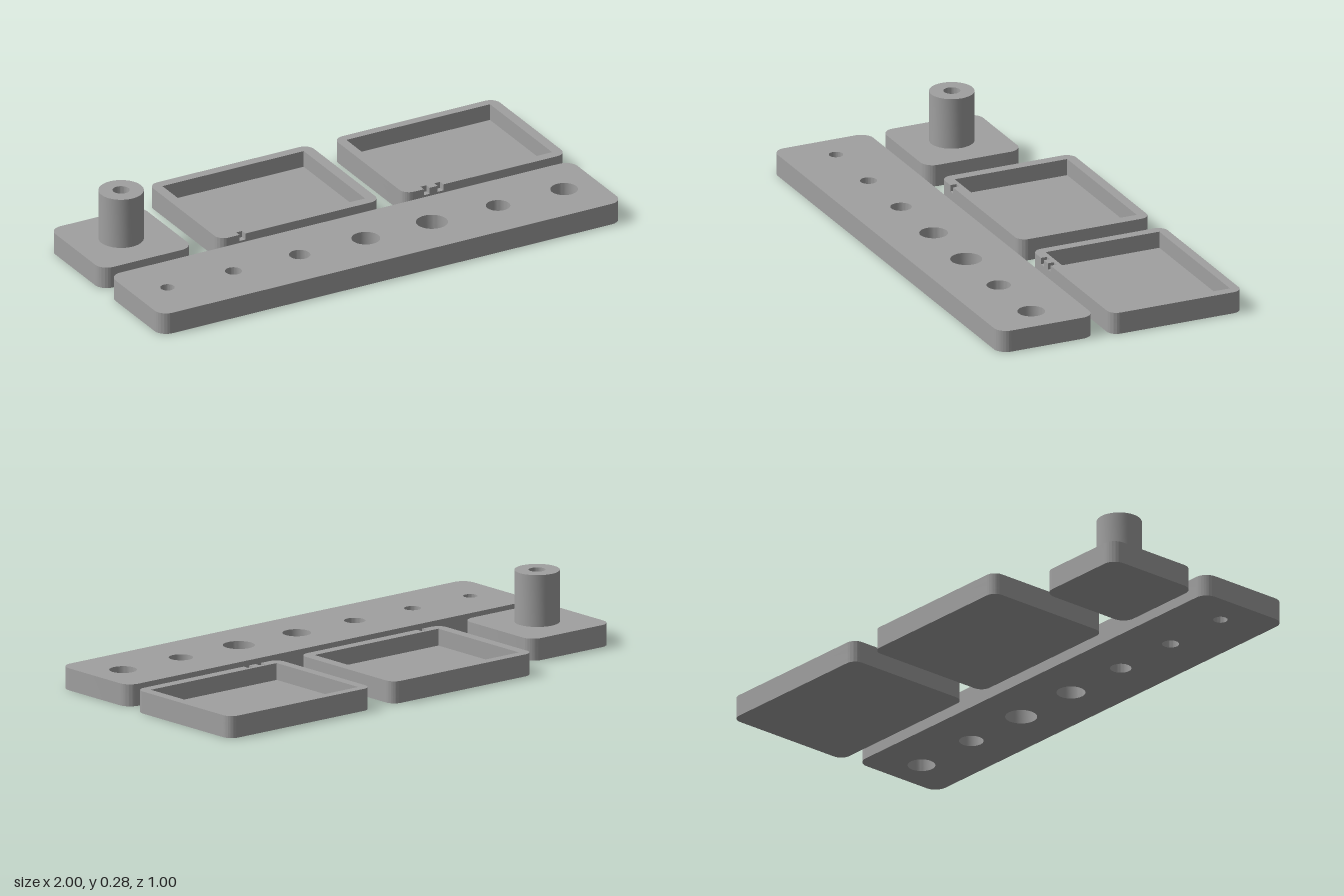
import * as THREE from 'three';
import { toCreasedNormals } from 'three/addons/utils/BufferGeometryUtils.js';

const HEIGHT = 0.085;
const FLOOR = 0.02;
const NOTCH = 0.025;

// Rounded rectangle seen from above; notches are [x0, x1] cut into the front (+z) edge
function plate(x0, x1, z0, z1, r, notches = []) {
  const s = new THREE.Shape();
  const b = -z1, t = -z0; // shape y runs towards -z
  s.moveTo(x0 + r, b);
  for (const [a, c] of notches) {
    s.lineTo(a, b);
    s.lineTo(a, b + NOTCH);
    s.lineTo(c, b + NOTCH);
    s.lineTo(c, b);
  }
  s.lineTo(x1 - r, b);
  s.absarc(x1 - r, b + r, r, -Math.PI / 2, 0, false);
  s.lineTo(x1, t - r);
  s.absarc(x1 - r, t - r, r, 0, Math.PI / 2, false);
  s.lineTo(x0 + r, t);
  s.absarc(x0 + r, t - r, r, Math.PI / 2, Math.PI, false);
  s.lineTo(x0, b + r);
  s.absarc(x0 + r, b + r, r, Math.PI, Math.PI * 1.5, false);
  return s;
}

function roundHole(x, z, r) {
  return new THREE.Path().absarc(x, -z, r, 0, Math.PI * 2, true);
}

function boxHole(x0, x1, z0, z1) {
  return new THREE.Path([[x0, -z1], [x0, -z0], [x1, -z0], [x1, -z1], [x0, -z1]]
    .map(([x, y]) => new THREE.Vector2(x, y)));
}

export function createModel() {
  const group = new THREE.Group();
  const grey = new THREE.MeshStandardMaterial({ color: 0xa0a0a0 });
  grey.name = 'grey';

  // Stand a flat shape up between two heights
  function slab(name, shape, y0, y1, parent = group) {
    let geo = new THREE.ExtrudeGeometry(shape, { depth: y1 - y0, bevelEnabled: false, curveSegments: 20 });
    geo.rotateX(-Math.PI / 2);
    geo.translate(0, y0, 0);
    geo = toCreasedNormals(geo, 0.6);
    const mesh = new THREE.Mesh(geo, grey);
    mesh.name = name;
    parent.add(mesh);
  }

  // Long bar with a row of graded through-holes
  const bar = plate(-1, 0.985, 0.105, 0.5, 0.05);
  [0.027, 0.032, 0.04, 0.054, 0.06, 0.046, 0.052].forEach((r, i) => {
    bar.holes.push(roundHole(-0.86 + i * 0.284, 0.302, r));
  });
  slab('holeBar', bar, 0, HEIGHT);

  // Post with a blind bore on a square base
  const px = -0.803, pz = -0.15;
  slab('postBase', plate(-1, -0.605, -0.35, 0.05, 0.05), 0, HEIGHT);
  const tube = new THREE.Shape().absarc(px, -pz, 0.085, 0, Math.PI * 2, false);
  tube.holes.push(roundHole(px, pz, 0.032));
  slab('post', tube, HEIGHT, 0.285);

  // Two open trays with small notches in the front rim
  function tray(name, [x0, x1, z0, z1], inner, notches) {
    const g = new THREE.Group();
    g.name = name;
    group.add(g);
    slab('trayFloor', plate(x0, x1, z0, z1, 0.04), 0, FLOOR, g);
    const wall = plate(x0, x1, z0, z1, 0.04);
    wall.holes.push(boxHole(...inner));
    slab('trayWall', wall, FLOOR, HEIGHT - NOTCH, g);
    const rim = plate(x0, x1, z0, z1, 0.04, notches);
    rim.holes.push(boxHole(...inner));
    slab('trayRim', rim, HEIGHT - NOTCH, HEIGHT, g);
  }
  tray('middleTray', [-0.49, 0.2, -0.498, 0.045], [-0.45, 0.157, -0.46, 0.005], [[-0.405, -0.38]]);
  tray('leftTray', [0.305, 1, -0.5, 0.045], [0.343, 0.96, -0.465, 0.005], [[0.387, 0.412], [0.446, 0.471]]);

  return group;
}
